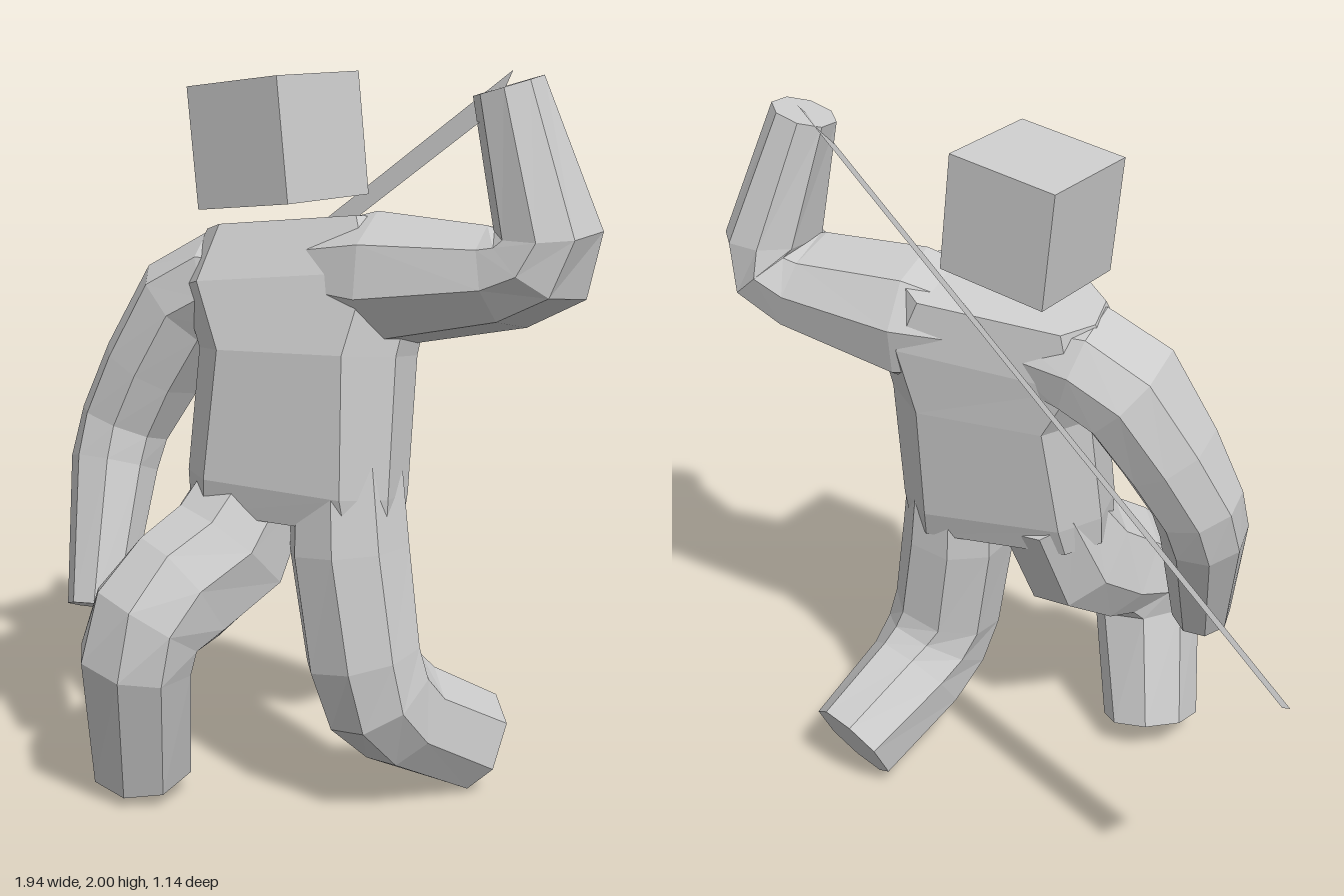
import * as THREE from 'three';

const V = (a) => new THREE.Vector3(a[0], a[1], a[2]);
const material = () => new THREE.MeshStandardMaterial({ color: 0xcccccc, flatShading: true, side: THREE.DoubleSide });

// Chamfered eight-sided outline with half-widths a and b
function outline(a, b) {
  const c = 0.586 * Math.min(a, b);
  return [[a, c - b], [a, b - c], [a - c, b], [c - a, b], [-a, b - c], [-a, c - b], [c - a, -b], [a - c, -b]];
}

// Capped octagonal loft through sections [x, y, z, half-width along ref, other half-width]
function loft(name, sections, ref) {
  const pts = sections.map(V);
  const last = pts.length - 1;
  const rings = sections.map((s, i) => {
    const t = new THREE.Vector3();
    if (i > 0) t.add(pts[i].clone().sub(pts[i - 1]).normalize());
    if (i < last) t.add(pts[i + 1].clone().sub(pts[i]).normalize());
    t.normalize();
    const u = V(ref);
    u.addScaledVector(t, -u.dot(t)).normalize();
    const v = t.clone().cross(u);
    return outline(s[3], s[4]).map(([p, q]) => pts[i].clone().addScaledVector(u, p).addScaledVector(v, q));
  });
  const pos = [];
  const tri = (...corners) => corners.forEach((p) => pos.push(p.x, p.y, p.z));
  for (let k = 0; k < 8; k++) {
    const n = (k + 1) % 8;
    for (let i = 0; i < last; i++) {
      tri(rings[i][k], rings[i][n], rings[i + 1][n]);
      tri(rings[i][k], rings[i + 1][n], rings[i + 1][k]);
    }
    tri(pts[0], rings[0][n], rings[0][k]);
    tri(pts[last], rings[last][k], rings[last][n]);
  }
  const geo = new THREE.BufferGeometry();
  geo.setAttribute('position', new THREE.Float32BufferAttribute(pos, 3));
  geo.computeVertexNormals();
  const mesh = new THREE.Mesh(geo, material());
  mesh.name = name;
  return mesh;
}

export function createModel() {
  const model = new THREE.Group();
  model.name = 'swordsman';

  // Torso, turned so its left shoulder is drawn back
  model.add(loft('torso', [
    [0.19, 0.81, 0.07, 0.29, 0.14],
    [0.19, 0.9, 0.065, 0.295, 0.165],
    [0.195, 1.25, 0.03, 0.285, 0.182],
    [0.165, 1.43, 0.0, 0.34, 0.165],
    [0.14, 1.575, -0.03, 0.27, 0.125],
  ], [0.97, 0, -0.24]));

  // Raised left arm
  model.add(loft('leftArm', [
    [0.1, 1.45, 0.0, 0.12, 0.09],
    [0.4, 1.455, -0.05, 0.18, 0.168],
    [0.74, 1.49, -0.09, 0.15, 0.122],
    [0.83, 1.53, -0.1, 0.15, 0.12],
    [0.85, 1.61, -0.1, 0.135, 0.115],
    [0.75, 1.965, -0.055, 0.085, 0.082],
  ], [0, 0.22, 1]));

  // Lowered right arm, swinging forward
  model.add(loft('rightArm', [
    [0.12, 1.43, 0.0, 0.09, 0.12],
    [-0.08, 1.405, 0.03, 0.135, 0.155],
    [-0.2, 1.335, 0.06, 0.135, 0.16],
    [-0.3, 1.15, 0.11, 0.125, 0.14],
    [-0.37, 0.99, 0.15, 0.12, 0.12],
    [-0.375, 0.88, 0.19, 0.115, 0.115],
    [-0.305, 0.505, 0.335, 0.08, 0.08],
  ], [1, -0.5, 0]));

  // Rear left leg, foot trailing behind
  model.add(loft('leftLeg', [
    [0.33, 1.02, 0.03, 0.13, 0.14],
    [0.355, 0.74, 0.045, 0.15, 0.155],
    [0.405, 0.45, 0.045, 0.15, 0.145],
    [0.43, 0.34, 0.015, 0.145, 0.15],
    [0.45, 0.26, -0.07, 0.138, 0.145],
    [0.513, 0.125, -0.315, 0.122, 0.138],
  ], [1, 0, 0]));

  // Leading right leg, knee raised forward
  model.add(loft('rightLeg', [
    [0.07, 0.92, 0.05, 0.14, 0.13],
    [0.035, 0.71, 0.17, 0.16, 0.175],
    [-0.015, 0.615, 0.31, 0.155, 0.17],
    [-0.05, 0.54, 0.405, 0.155, 0.15],
    [-0.07, 0.43, 0.43, 0.15, 0.14],
    [-0.145, 0.075, 0.335, 0.13, 0.135],
  ], [1, 0, 0]));

  // Head
  const head = new THREE.Mesh(new THREE.BoxGeometry(0.325, 0.325, 0.32), material());
  head.name = 'head';
  head.position.set(0.067, 1.798, 0);
  head.rotation.set(0, -0.05, 0.125);
  model.add(head);

  // Thin flat blade: one end in the raised hand, the other behind the right side
  const tip = V([-0.97, 0.98, -0.57]);
  const grip = V([0.73, 2.0, -0.105]);
  const width = V([0.03, -0.09, 0.12]);
  const bladeGeo = new THREE.BufferGeometry().setFromPoints(
    [tip, tip.clone().add(width), grip.clone().add(width), grip]);
  bladeGeo.setIndex([0, 1, 2, 0, 2, 3]);
  bladeGeo.computeVertexNormals();
  const blade = new THREE.Mesh(bladeGeo, material());
  blade.name = 'blade';
  model.add(blade);

  return model;
}
